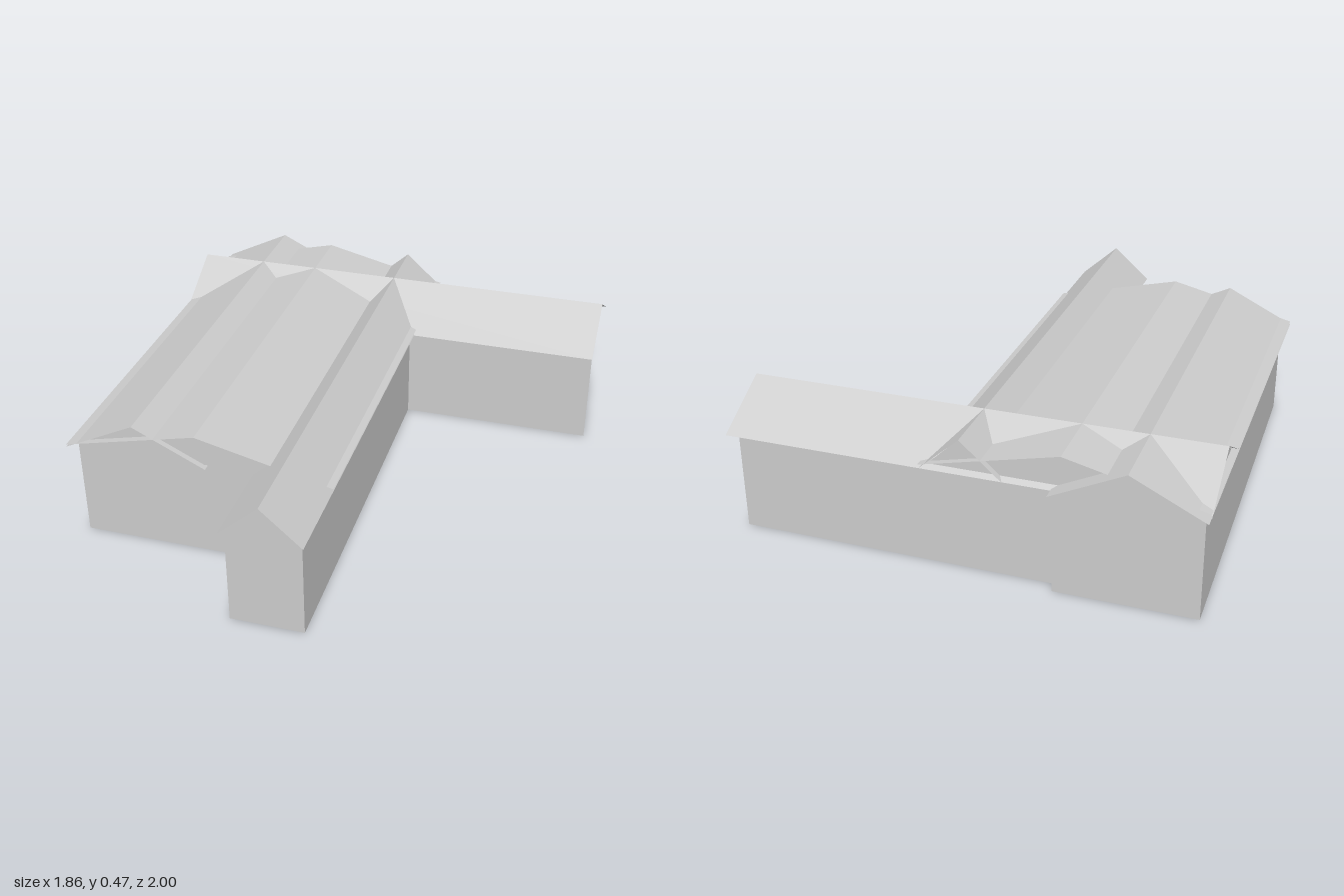
import * as THREE from 'three';

const PEAK = 0.47, WALL_TOP = 0.355;
const material = new THREE.MeshStandardMaterial({ color: 0xcccccc, side: THREE.DoubleSide, flatShading: true });

// Surface from flat faces, each a convex loop of corners
function surface(name, faces) {
  const pos = [];
  for (const f of faces)
    for (let i = 1; i < f.length - 1; i++) pos.push(...f[0], ...f[i], ...f[i + 1]);
  const geo = new THREE.BufferGeometry();
  geo.setAttribute('position', new THREE.Float32BufferAttribute(pos, 3));
  geo.computeVertexNormals();
  const mesh = new THREE.Mesh(geo, material);
  mesh.name = name;
  return mesh;
}

// Gable roof: a0, ridge, a1 run across the span; b0, b1 are the ends along the ridge
function gableRoof({ name, across, along, eave, alongX = false, inset = 0.022 }) {
  const [a0, ridge, a1] = across, [b0, b1] = along;
  const p = (a, y, b) => (alongX ? [b, y, -a] : [a, y, b]);
  const m = alongX ? (a, y, b) => p(-a, y, b) : p;
  const group = new THREE.Group();
  group.name = name;
  group.add(surface(name + 'Slopes', [
    [m(a0, eave, b0), m(a0, eave, b1), m(ridge, PEAK, b1), m(ridge, PEAK, b0)],
    [m(ridge, PEAK, b0), m(ridge, PEAK, b1), m(a1, eave, b1), m(a1, eave, b0)],
  ]));
  // Gable walls set back under the roof overhang
  group.add(surface(name + 'Gables', [b0 + inset, b1 - inset].map((b) =>
    [m(a0 + 0.02, WALL_TOP, b), m(a1 - 0.02, WALL_TOP, b), m(ridge, PEAK - 0.002, b)])));
  return group;
}

export function createModel() {
  const model = new THREE.Group();
  const house = new THREE.Group();
  house.name = 'house';
  house.rotation.y = -0.191; // plan is turned off the main axes
  model.add(house);

  // Outer walls around the joined wings, open underneath
  const plan = [
    [-0.15, 0.969], [0.1, 0.969], [0.09, -0.392], [0.788, -0.392], [0.756, -0.794],
    [-0.335, -0.8], [-0.335, -0.84], [-0.804, -0.84], [-0.784, 0.661], [-0.15, 0.661],
  ];
  house.add(surface('outerWalls', plan.map(([x, z], i) => {
    const [u, w] = plan[(i + 1) % plan.length];
    return [[x, 0, z], [u, 0, w], [u, WALL_TOP, w], [x, WALL_TOP, z]];
  })));

  // Four interpenetrating gable roofs
  [
    { name: 'narrowWingRoof', across: [-0.166, -0.028, 0.11], along: [-0.82, 0.991], eave: 0.347 },
    { name: 'sideWingRoof', across: [-0.818, -0.595, -0.377], along: [-0.816, 0.79], eave: 0.347, alongX: true },
    { name: 'outerWingRoof', across: [-0.816, -0.572, -0.323], along: [-0.862, 0.688], eave: 0.35 },
    { name: 'broadRoof', across: [-0.815, -0.354, 0.112], along: [-0.82, 0.69], eave: 0.36 },
  ].forEach((r) => house.add(gableRoof(r)));

  return model;
}
